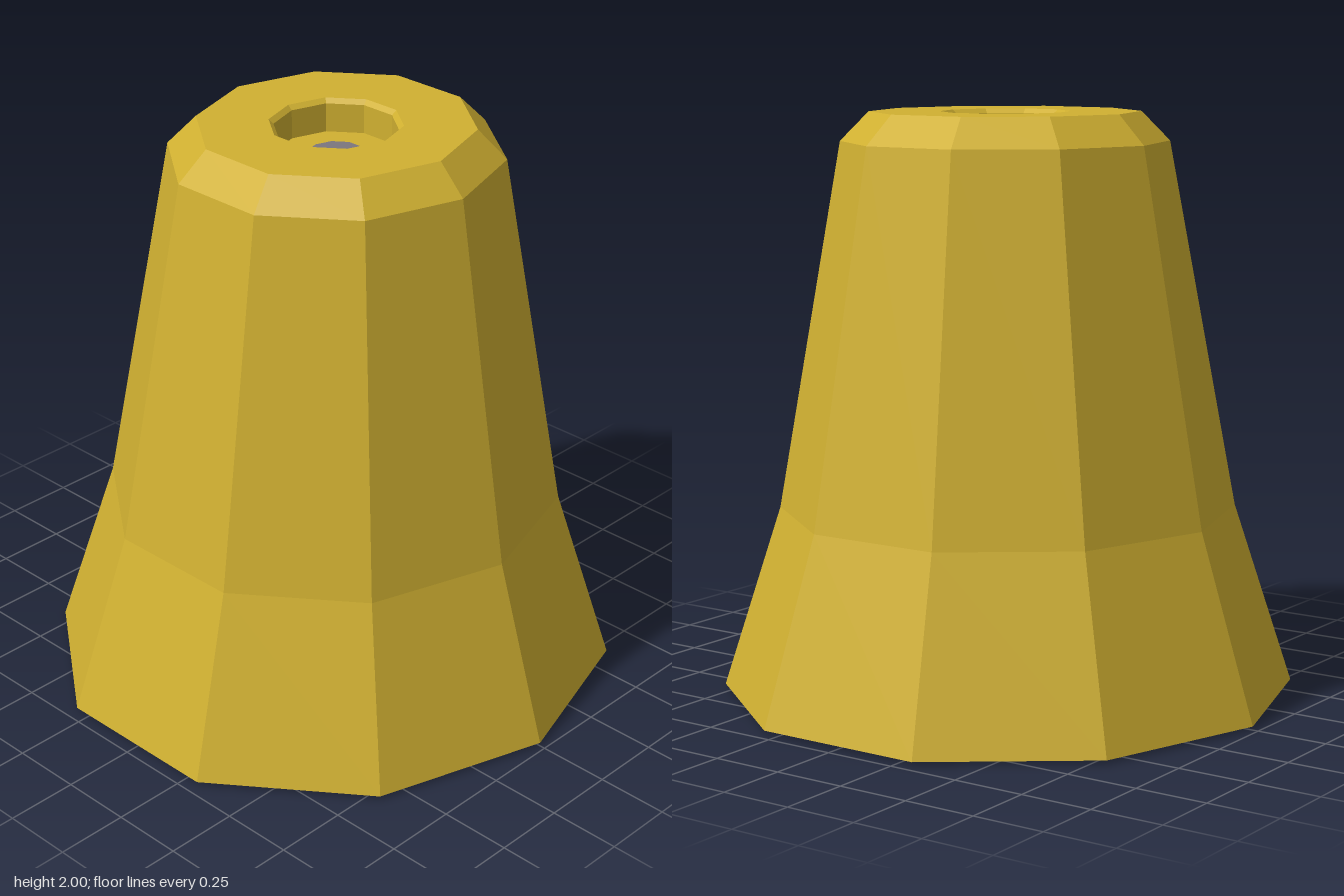
import * as THREE from 'three';

const SIDES = 10;

// Ten-sided faceted turning, a little wider in x, whose axis leans forward towards the top
function facetedLathe(profile) {
  const points = profile.map(([r, y]) => new THREE.Vector2(r, y));
  const geometry = new THREE.LatheGeometry(points, SIDES).toNonIndexed();
  const p = geometry.attributes.position;
  for (let i = 0; i < p.count; i++) {
    const lean = 0.015 * THREE.MathUtils.clamp((p.getY(i) - 0.3) / 1.6, 0, 1);
    p.setX(i, p.getX(i) * 1.03);
    p.setZ(i, p.getZ(i) + lean);
  }
  geometry.computeVertexNormals();
  return geometry;
}

export function createModel() {
  const gold = new THREE.MeshStandardMaterial({ color: 0xd0b031 });
  gold.name = 'gold';
  const iron = new THREE.MeshStandardMaterial({ color: 0x7c767e });
  iron.name = 'iron grey';

  const model = new THREE.Group();
  model.name = 'bell';

  const add = (name, profile, material) => {
    const mesh = new THREE.Mesh(facetedLathe(profile), material);
    mesh.name = name;
    model.add(mesh);
  };

  // Hollow shell: inside ceiling, inner wall, lip, outer wall, crown and recess
  add('bellShell', [
    [0, 1.82], [0.44, 1.82], [0.69, 0.64], [0.89, 0],
    [0.98, 0.012], [0.78, 0.64], [0.555, 1.9], [0.458, 2],
    [0.22, 2], [0.204, 1.985], [0.204, 1.885], [0, 1.885],
  ], gold);

  // Rod through the crown with a faceted bulb at its lower end
  add('clapper', [
    [0, 0.15], [0.12, 0.15], [0.195, 0.31], [0.195, 0.36],
    [0.125, 0.5], [0.095, 0.56], [0.095, 1.895], [0, 1.895],
  ], iron);

  return model;
}
